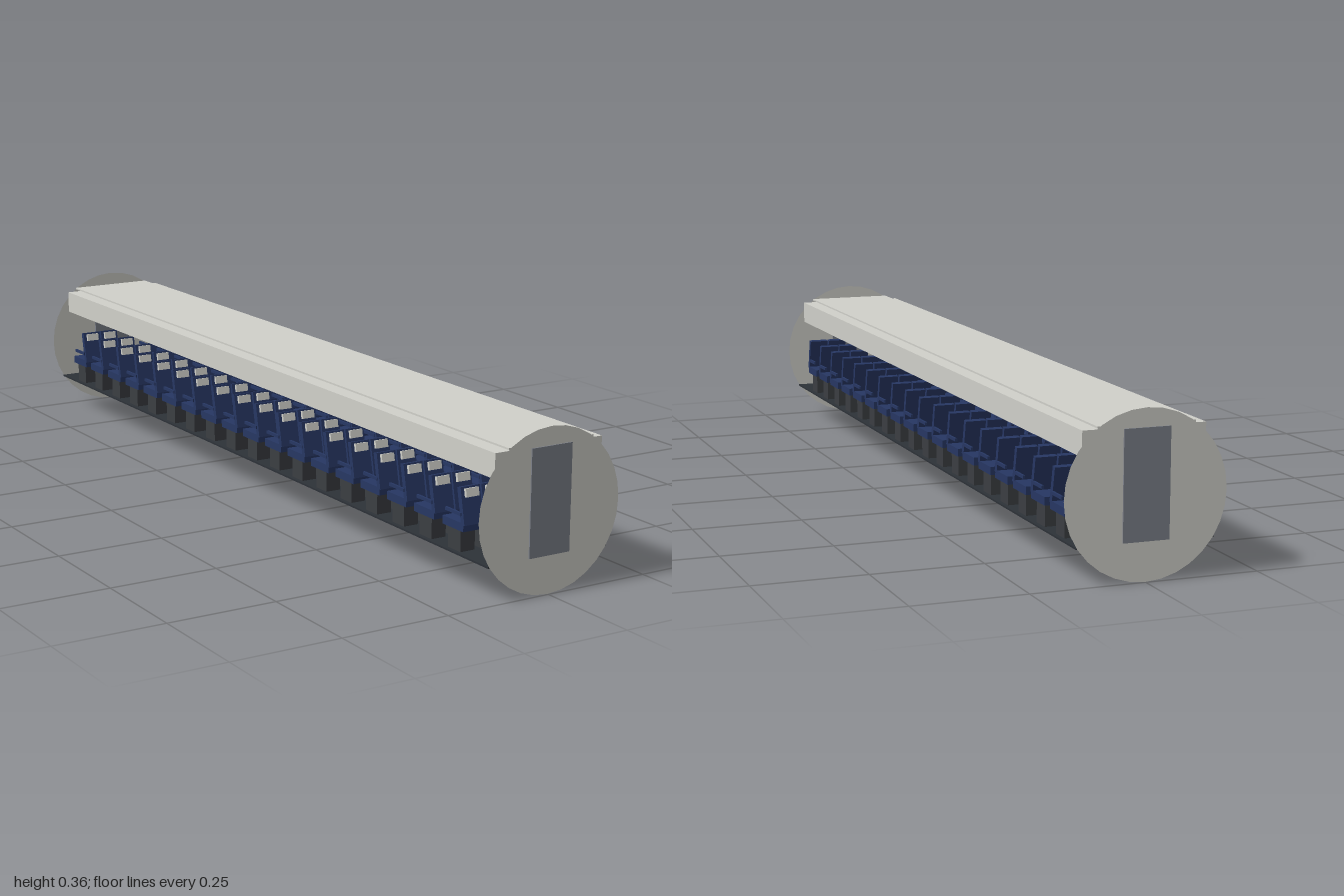
import * as THREE from 'three';

const mat = (name, color, side = THREE.FrontSide) => {
  const m = new THREE.MeshStandardMaterial({ color, side });
  m.name = name;
  return m;
};

export function createModel() {
  const panel = mat('panelGrey', 0xd0d0ca);
  const bulkheadGrey = mat('bulkheadGrey', 0xd0d0ca, THREE.DoubleSide);
  const doorGrey = mat('doorGrey', 0x7d818a);
  const navy = mat('seatNavy', 0x273763);
  const charcoal = mat('baseCharcoal', 0x3b3e42);
  const carpet = mat('carpetDark', 0x2d3238);

  const cabin = new THREE.Group();
  cabin.name = 'cabin';

  const add = (parent, name, geometry, material, x, y, z) => {
    const mesh = new THREE.Mesh(geometry, material);
    mesh.name = name;
    mesh.position.set(x, y, z);
    parent.add(mesh);
    return mesh;
  };
  const box = (w, h, d) => new THREE.BoxGeometry(w, h, d);

  // Floor and ceiling panels
  add(cabin, 'floor', box(0.302, 0.004, 1.992), carpet, 0, 0.081, 0);
  add(cabin, 'ceiling', box(0.214, 0.004, 1.992), panel, 0, 0.322, 0);

  // Round end walls with a door on each
  const disc = new THREE.CircleGeometry(0.178, 32);
  const doorPlate = box(0.102, 0.232, 0.008);
  for (const end of [1, -1]) {
    add(cabin, 'bulkhead', disc, bulkheadGrey, 0, 0.178, end * 0.997);
    add(cabin, 'door', doorPlate, doorGrey, 0, 0.2, end * 0.996);
  }

  // Overhead bins
  const bin = box(0.065, 0.054, 1.975);
  for (const side of [1, -1]) {
    add(cabin, 'overheadBin', bin, panel, side * 0.1025, 0.289, 0.002);
  }

  // Seat parts
  const pedestal = box(0.036, 0.05, 0.044);
  const cushion = box(0.048, 0.018, 0.074);
  const backrest = box(0.048, 0.08, 0.012);
  const headrest = box(0.032, 0.018, 0.008);
  const armrest = box(0.005, 0.007, 0.055);

  function makeSeat() {
    const seat = new THREE.Group();
    seat.name = 'seat';
    add(seat, 'pedestal', pedestal, charcoal, 0, 0.025, -0.002);
    add(seat, 'cushion', cushion, navy, 0, 0.058, 0);
    for (const side of [1, -1]) {
      add(seat, 'armrest', armrest, navy, side * 0.0235, 0.085, 0.002);
    }
    const back = new THREE.Group();
    back.name = 'seatBack';
    back.position.set(0, 0.062, 0.035);
    back.rotation.x = -0.2;
    add(back, 'backrest', backrest, navy, 0, 0.04, 0);
    add(back, 'headrest', headrest, panel, 0, 0.067, 0.009);
    seat.add(back);
    return seat;
  }

  // Eighteen rows, two seats on each side of the aisle
  for (let row = 0; row < 18; row++) {
    for (const x of [-0.124, -0.072, 0.072, 0.124]) {
      const seat = makeSeat();
      seat.position.set(x, 0.082, 0.867 - row * 0.1035);
      cabin.add(seat);
    }
  }
  return cabin;
}
